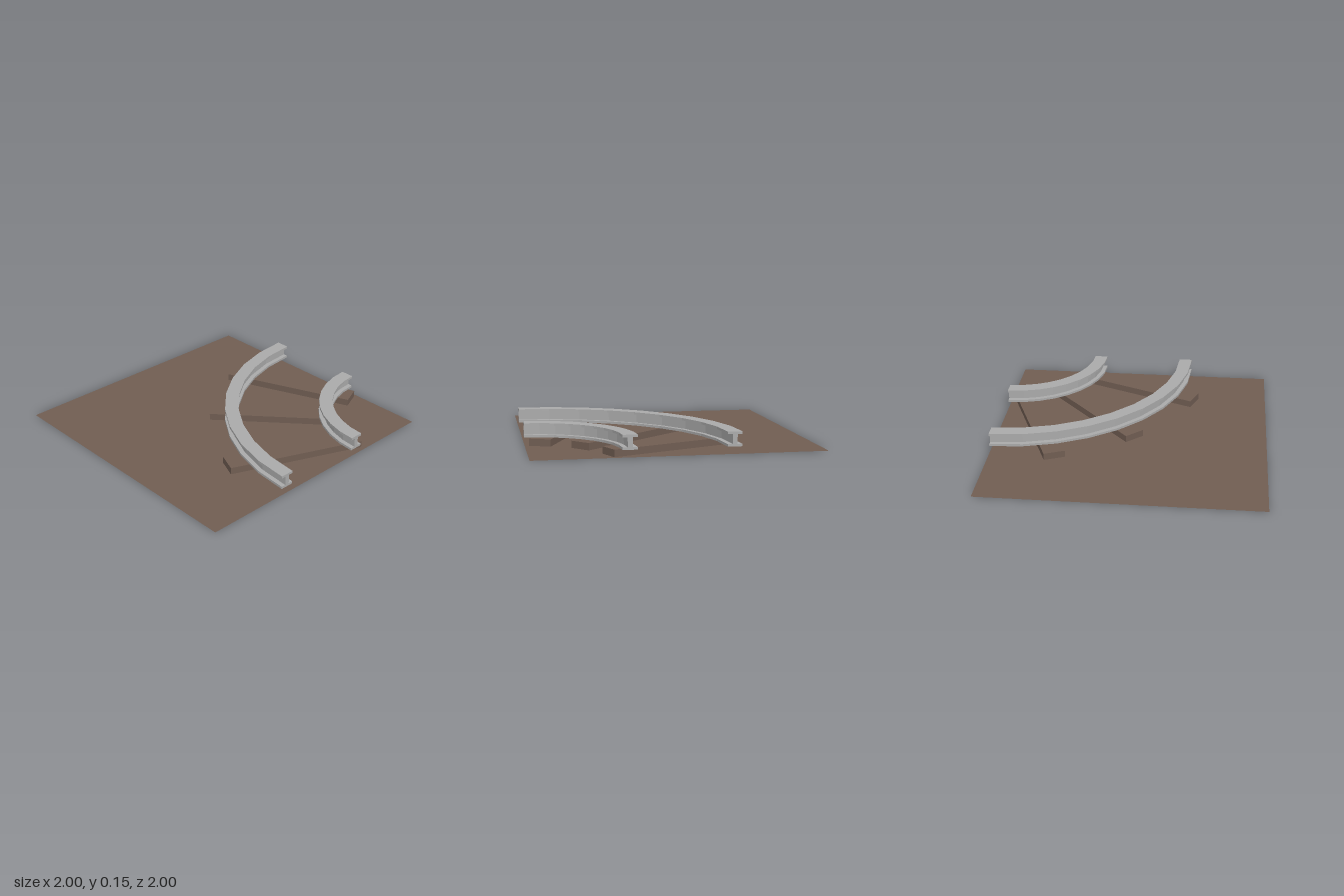
import * as THREE from 'three';

const brown = new THREE.MeshStandardMaterial({ name: 'earthBrown', color: 0x705d52, flatShading: true, side: THREE.DoubleSide });
const steel = new THREE.MeshStandardMaterial({ name: 'steelGrey', color: 0xaaaaaa, flatShading: true });

// Closed I-beam section around radius r, counter-clockwise
function railSection(r) {
  const flange = 0.05, web = 0.0165;
  const y0 = 0.05, y1 = 0.067, y2 = 0.133, y3 = 0.15;
  return [
    [-flange, y0], [flange, y0], [flange, y1], [web, y1], [web, y2], [flange, y2],
    [flange, y3], [-flange, y3], [-flange, y2], [-web, y2], [-web, y1], [-flange, y1],
  ].map(([x, y]) => new THREE.Vector2(r + x, y));
}

// Quarter-circle rail around the corner (1, 1), with closed ends
function makeRail(name, r) {
  const rail = new THREE.Group();
  rail.name = name;
  const section = railSection(r);
  const beam = new THREE.Mesh(
    new THREE.LatheGeometry([...section, section[0].clone()], 9, Math.PI, Math.PI / 2), steel);
  beam.name = 'railBeam';

  const shape = new THREE.Shape(section);
  const sideEnd = new THREE.Mesh(new THREE.ShapeGeometry(shape).rotateY(Math.PI / 2), steel);
  sideEnd.name = 'railSideEnd';
  const frontEnd = new THREE.Mesh(new THREE.ShapeGeometry(shape).translate(-2 * r, 0, 0), steel);
  frontEnd.name = 'railFrontEnd';

  rail.add(beam, sideEnd, frontEnd);
  rail.position.set(1, 0, 1);
  return rail;
}

export function createModel() {
  const model = new THREE.Group();
  model.name = 'curvedTrack';

  // Flat ground sheet
  const ground = new THREE.Mesh(new THREE.PlaneGeometry(2, 2).rotateX(-Math.PI / 2), brown);
  ground.name = 'ground';
  model.add(ground);

  // Sleepers: centre x, centre z, heading in degrees
  const sleeperGeometry = new THREE.BoxGeometry(1, 0.05, 0.156);
  [[0.018, 0.707, 22.5], [0.308, 0.265, 48], [0.711, 0.019, 67.5]].forEach(([x, z, deg], i) => {
    const sleeper = new THREE.Mesh(sleeperGeometry, brown);
    sleeper.name = `sleeper${i + 1}`;
    sleeper.position.set(x, 0.025, z);
    sleeper.rotation.y = -THREE.MathUtils.degToRad(deg);
    model.add(sleeper);
  });

  model.add(makeRail('outerRail', 1.35), makeRail('innerRail', 0.65));
  return model;
}
